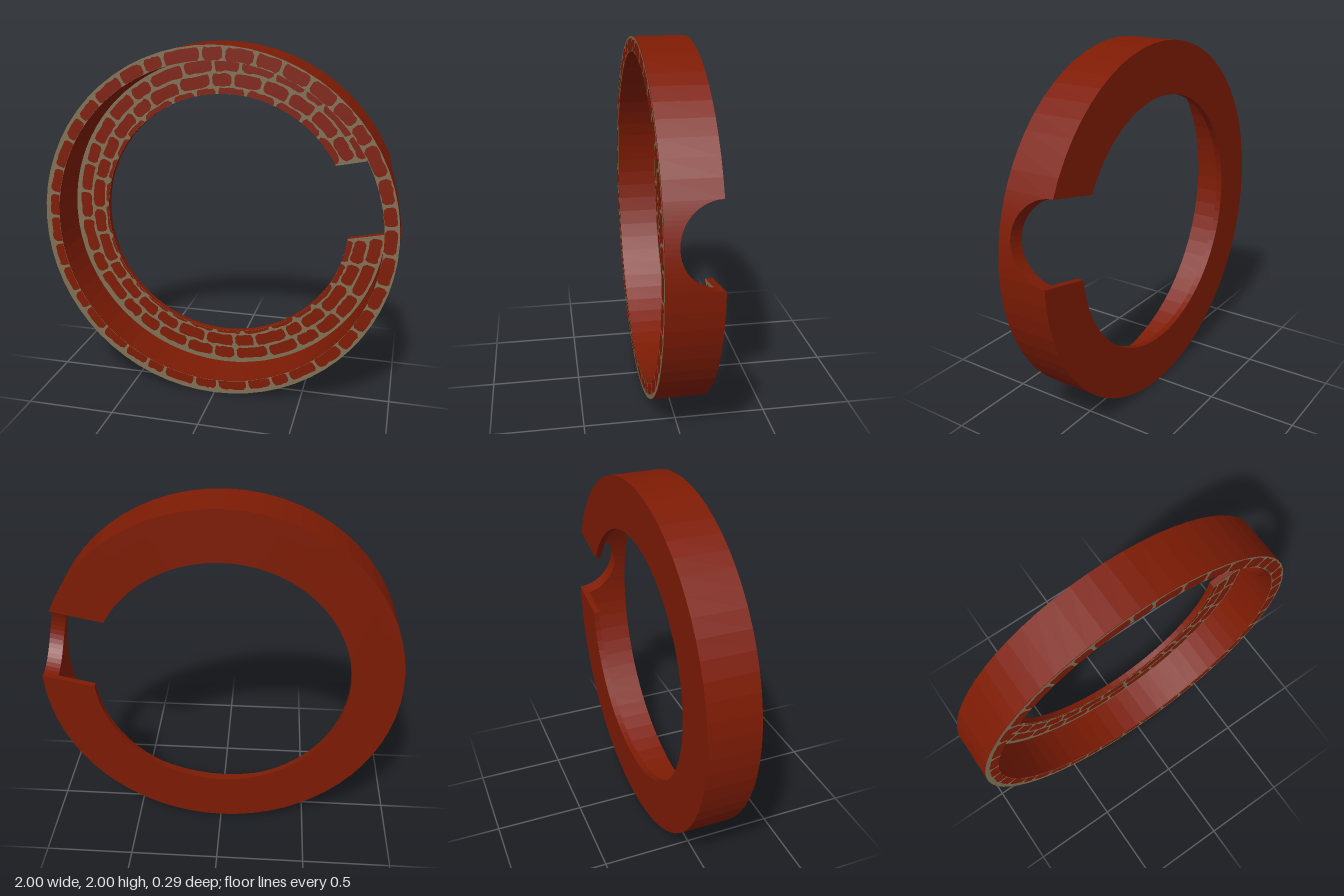
import * as THREE from 'three';
import { mergeGeometries } from 'three/addons/utils/BufferGeometryUtils.js';

const OUTER = 1, WALL = 0.92, INNER = 0.715;   // radii
const BACK = -0.143, FRONT = 0.139, FLANGE = 0.035;
const CUT = 0.212, CUT_ANGLE = THREE.MathUtils.degToRad(11.5);
const TAU = Math.PI * 2;

let seed = 7;
const rand = () => (seed = (seed * 16807) % 2147483647) / 2147483647;
const polar = (r, a) => new THREE.Vector2(r * Math.cos(a), r * Math.sin(a));

// Angles where a circle of radius r meets the sides of the gap
const gapEnds = (r) => {
  const h = Math.asin(CUT / r);
  return [CUT_ANGLE + h, CUT_ANGLE + TAU - h];
};

// Outer wall: a rectangular section swept round, its back edge rising over the round notch
function wallGeometry() {
  const sections = [];
  const add = (ao, ai, zb) => {
    const o = polar(OUTER, ao), i = polar(WALL, ai);
    sections.push([[o.x, o.y, FRONT], [i.x, i.y, FRONT], [i.x, i.y, zb], [o.x, o.y, zb]]);
  };
  const notchSteps = 24, ringSteps = 60;
  for (let i = 0; i <= notchSteps; i++) {
    const p = Math.PI * i / notchSteps, t = -CUT * Math.cos(p);
    add(CUT_ANGLE + Math.asin(t / OUTER), CUT_ANGLE + Math.asin(t / WALL), BACK + CUT * Math.sin(p));
  }
  const [o0, o1] = gapEnds(OUTER), [i0, i1] = gapEnds(WALL);
  for (let i = 1; i <= ringSteps; i++) {
    const f = i / ringSteps;
    add(o0 + (o1 - o0) * f, i0 + (i1 - i0) * f, BACK);
  }
  const pos = [];
  for (let s = 0; s < sections.length - 1; s++) {
    const A = sections[s], B = sections[s + 1];
    for (let k = 0; k < 4; k++) {
      const n = (k + 1) % 4;
      pos.push(...A[k], ...B[k], ...B[n], ...A[k], ...B[n], ...A[n]);
    }
  }
  const g = new THREE.BufferGeometry();
  g.setAttribute('position', new THREE.Float32BufferAttribute(pos, 3));
  g.computeVertexNormals();
  return g;
}

// Flat ring with a parallel-sided gap
function gapRing(rIn, rOut, steps = 64) {
  const pts = [];
  const [o0, o1] = gapEnds(rOut), [i0, i1] = gapEnds(rIn);
  for (let i = 0; i <= steps; i++) pts.push(polar(rOut, o0 + (o1 - o0) * i / steps));
  for (let i = steps; i >= 0; i--) pts.push(polar(rIn, i0 + (i1 - i0) * i / steps));
  return new THREE.Shape(pts);
}

// The courses sit slightly off centre, towards the upper right
const drift = (a) => 0.012 * Math.cos(a - Math.PI / 4);

// One curved brick face with worn corners, trimmed to the radii lo..hi
function brick(a, b, r0, r1, lo, hi) {
  const pts = [], edge = 5, h = r1 - r0;
  const c = () => 0.006 + rand() * 0.014;
  const put = (r, t) => pts.push(polar(THREE.MathUtils.clamp(r + drift(t), lo, hi), t));
  const run = (r, from, to) => {
    for (let i = 0; i <= edge; i++) put(r + (rand() - 0.5) * 0.008, from + (to - from) * i / edge);
  };
  run(r0, a + c() / r0, b - c() / r0);
  put(r0 + h * 0.25, b);
  put(r0 + h * 0.75, b);
  run(r1, b - c() / r1, a + c() / r1);
  put(r0 + h * 0.75, a);
  put(r0 + h * 0.25, a);
  return new THREE.ShapeGeometry(new THREE.Shape(pts));
}

// A course of bricks of uneven length; bricks falling outside lo..hi are left out
function course(mid, start, end, count, lo, hi) {
  const r0 = mid - 0.034, r1 = mid + 0.034, half = 0.0085 / mid;
  const joints = [], step = (end - start) / count, bricks = [];
  for (let i = 0; i <= count; i++) {
    const jitter = i === 0 || i === count ? 0 : (rand() - 0.5) * 0.4;
    joints.push(start + (i + jitter) * step);
  }
  for (let i = 0; i < count; i++) {
    const a = joints[i] + half, b = joints[i + 1] - half, d = drift((a + b) / 2);
    if (Math.min(r1 + d, hi) - Math.max(r0 + d, lo) > 0.008) bricks.push(brick(a, b, r0, r1, lo, hi));
  }
  return mergeGeometries(bricks);
}

export function createModel() {
  const brickRed = new THREE.MeshStandardMaterial({ color: 0x7d1b04 });
  brickRed.name = 'brickRed';
  const mortarTan = new THREE.MeshStandardMaterial({ color: 0x7f6f54 });
  mortarTan.name = 'mortarTan';

  const model = new THREE.Group();
  model.name = 'brickRing';
  const add = (name, geometry, material, z = 0) => {
    const mesh = new THREE.Mesh(geometry, material);
    mesh.name = name;
    mesh.position.set(0, OUTER, z);
    model.add(mesh);
  };

  // Solid parts
  add('outerWall', wallGeometry(), brickRed);
  add('backFlange', new THREE.ExtrudeGeometry(gapRing(INNER, WALL + 0.01),
    { depth: FLANGE, bevelEnabled: false }), brickRed, BACK);

  // Mortar faces
  const flangeZ = BACK + FLANGE;
  add('rimMortar', new THREE.RingGeometry(WALL, OUTER, 64, 1, CUT_ANGLE), mortarTan, FRONT + 0.002);
  add('flangeMortar', new THREE.ShapeGeometry(gapRing(INNER, WALL)), mortarTan, flangeZ + 0.002);

  // Brick courses: one on the rim, the rest on the flange
  const top = THREE.MathUtils.degToRad(86.7);
  add('rimBricks', course(0.946, top, top + TAU, 39, WALL, OUTER), brickRed, FRONT + 0.004);
  [[0.865, 29], [0.783, 28], [0.705, 26]].forEach(([mid, count], i) => {
    const [start, end] = gapEnds(Math.max(mid - 0.034, INNER));
    add('flangeBricks' + (i + 1), course(mid, start, end, count, INNER, WALL), brickRed, flangeZ + 0.004);
  });
  return model;
}
